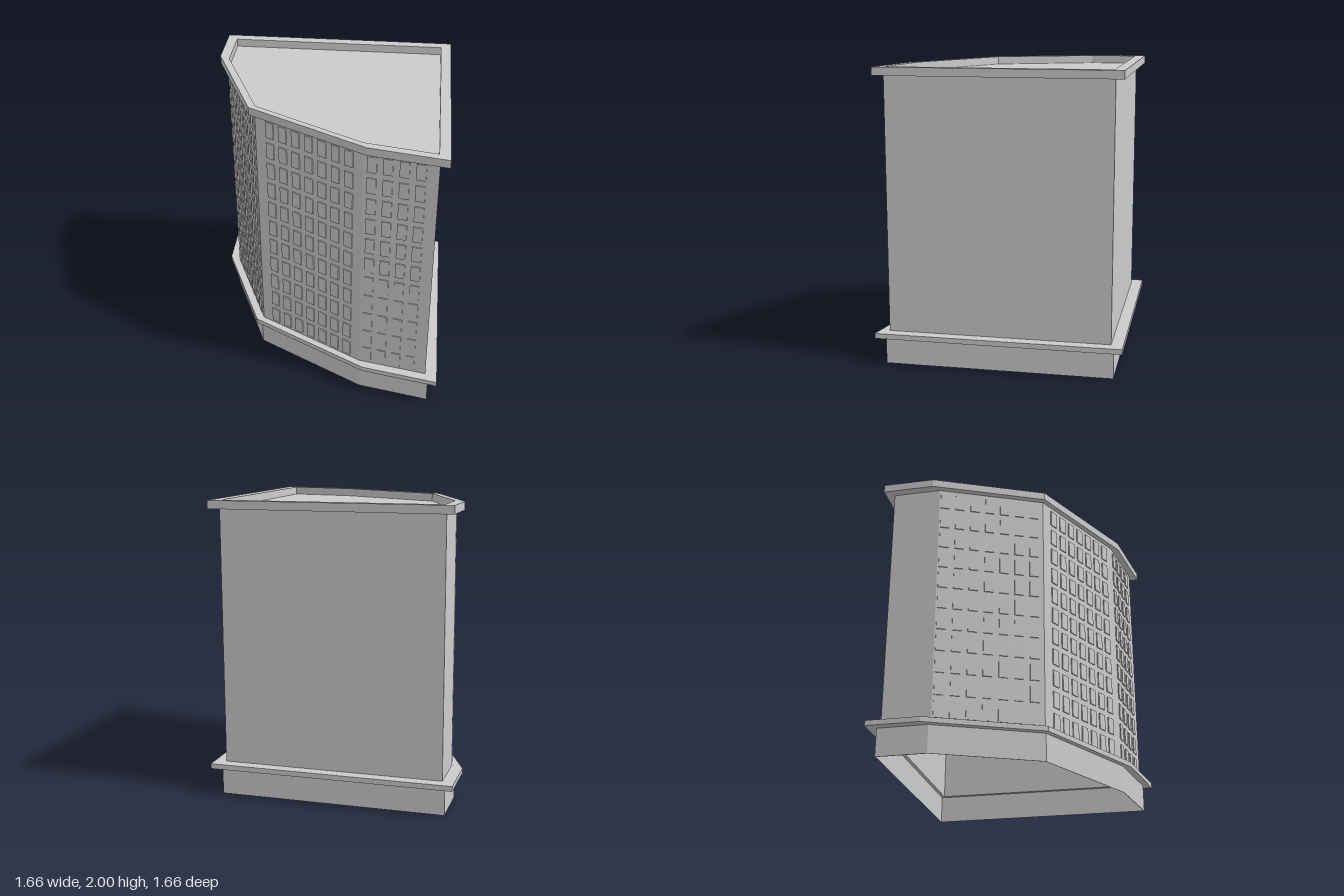
import * as THREE from 'three';

const material = new THREE.MeshStandardMaterial({ color: 0xcccccc, flatShading: true, side: THREE.DoubleSide });

// Footprint as [x, z] at unit half-width; every tier is a scaled copy
const PLAN = [[1, 1], [0.373, 0.876], [-0.608, 0.343], [-1, -0.56], [-1, -1], [1, -1]];

function outline(scale, PathType) {
  return new PathType(PLAN.map(([x, z]) => new THREE.Vector2(x * scale, -z * scale)));
}

// Horizontal slab or ring (when inner > 0) between two heights
function tier(name, outer, inner, y0, y1) {
  const shape = outline(outer, THREE.Shape);
  if (inner) shape.holes.push(outline(inner, THREE.Path));
  const geo = new THREE.ExtrudeGeometry(shape, { depth: y1 - y0, bevelEnabled: false });
  geo.rotateX(-Math.PI / 2);
  geo.translate(0, y0, 0);
  const mesh = new THREE.Mesh(geo, material);
  mesh.name = name;
  return mesh;
}

// Grid of window panels on the facade from plan corner a to b,
// with the first and last column centres given by x
function windowGrid(name, a, b, firstX, lastX, columns) {
  const wall = 0.75, rows = 11;
  const [ax, az] = PLAN[a].map(v => v * wall);
  const [bx, bz] = PLAN[b].map(v => v * wall);
  const group = new THREE.Group();
  group.name = name;
  const geo = new THREE.BoxGeometry(0.062, 0.114, 0.022);
  const angle = Math.atan2(-(bz - az), bx - ax);
  const nx = Math.sin(angle), nz = Math.cos(angle);
  for (let c = 0; c < columns; c++) {
    const x = firstX + (lastX - firstX) * c / (columns - 1);
    const z = az + (bz - az) * (x - ax) / (bx - ax);
    for (let r = 0; r < rows; r++) {
      const pane = new THREE.Mesh(geo, material);
      pane.name = 'window';
      pane.position.set(x - nx * 0.004, 0.302 + r * 0.1555, z - nz * 0.004);
      pane.rotation.y = angle;
      group.add(pane);
    }
  }
  return group;
}

export function createModel() {
  const model = new THREE.Group();
  model.name = 'apartmentBlock';
  model.add(
    // Hollow base, ledge, tower walls and roof
    tier('base', 0.77, 0.765, 0, 0.19),
    tier('ledge', 0.83, 0.74, 0.19, 0.225),
    tier('walls', 0.75, 0.74, 0.225, 1.945),
    tier('roof', 0.745, 0, 1.937, 1.945),
    tier('parapet', 0.81, 0.74, 1.945, 2),
    // Windows on the three angled street facades
    windowGrid('rightWindows', 3, 2, -0.734, -0.483, 7),
    windowGrid('frontWindows', 2, 1, -0.352, 0.19, 7),
    windowGrid('leftWindows', 1, 0, 0.335, 0.64, 4)
  );
  return model;
}
